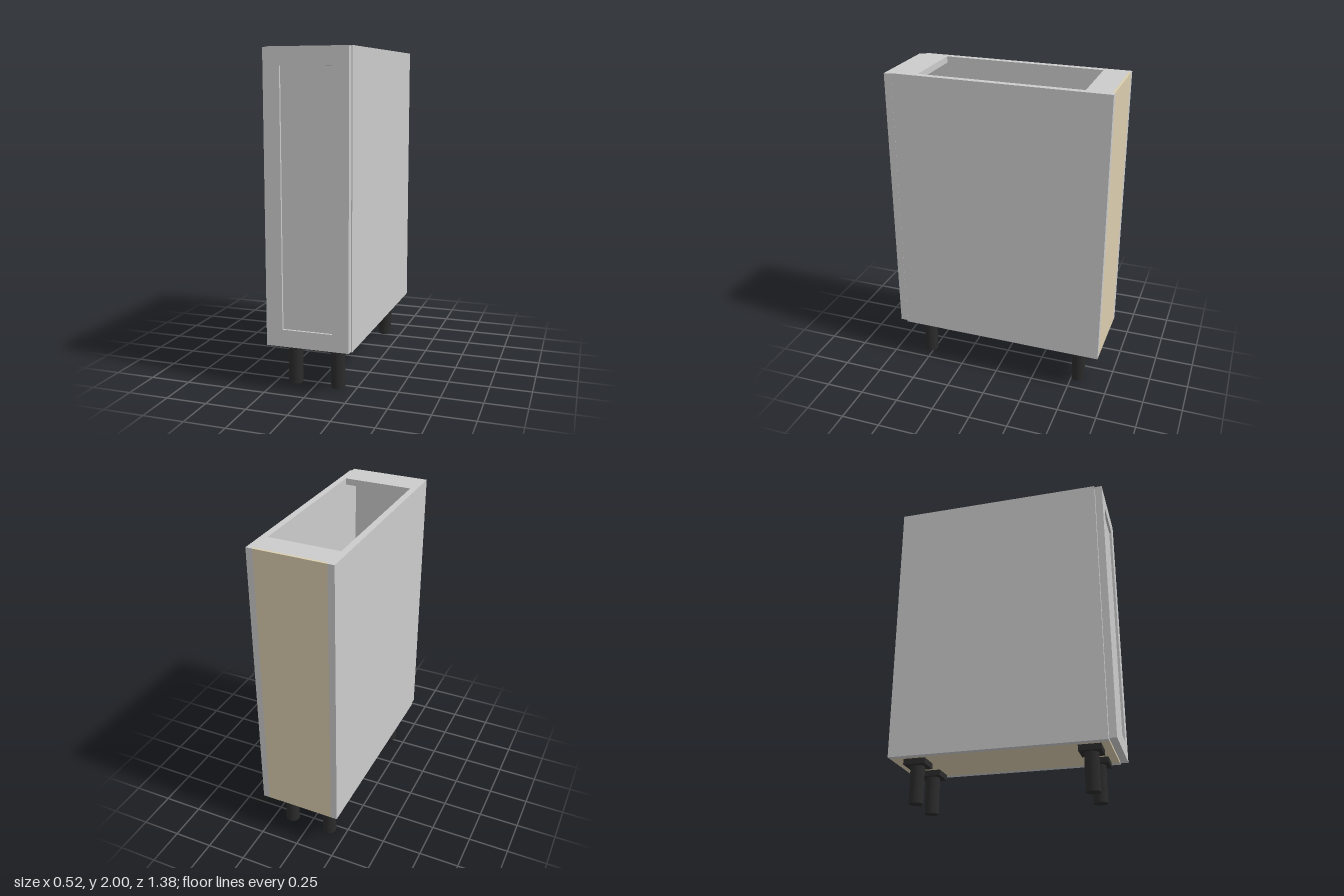
import * as THREE from 'three';

const GREY = new THREE.MeshStandardMaterial({ color: 0xcccccc });
const WOOD = new THREE.MeshStandardMaterial({ color: 0xdacdae });
const BLACK = new THREE.MeshStandardMaterial({ color: 0x2b2b2b });

// Box given by its lower and upper corners
function box(name, [x0, y0, z0], [x1, y1, z1], material) {
  const mesh = new THREE.Mesh(new THREE.BoxGeometry(x1 - x0, y1 - y0, z1 - z0), material);
  mesh.position.set((x0 + x1) / 2, (y0 + y1) / 2, (z0 + z1) / 2);
  mesh.name = name;
  return mesh;
}

function rectangle(path, x, y0, y1) {
  path.moveTo(-x, y0);
  path.lineTo(x, y0);
  path.lineTo(x, y1);
  path.lineTo(-x, y1);
  path.closePath();
  return path;
}

// Door: frame around a recessed panel
function makeDoor() {
  const door = new THREE.Group();
  door.name = 'door';
  const outline = rectangle(new THREE.Shape(), 0.253, 0.272, 1.995);
  outline.holes.push(rectangle(new THREE.Path(), 0.153, 0.375, 1.892));
  const frame = new THREE.Mesh(
    new THREE.ExtrudeGeometry(outline, { depth: 0.045, bevelEnabled: false }), GREY);
  frame.position.z = 0.645;
  frame.name = 'doorFrame';
  door.add(frame, box('doorPanel', [-0.153, 0.375, 0.645], [0.153, 1.892, 0.675], GREY));
  return door;
}

// Leg: round post under a square mounting plate
function makeLeg(name, x, z) {
  const leg = new THREE.Group();
  leg.name = name;
  const post = new THREE.Mesh(new THREE.CylinderGeometry(0.044, 0.044, 0.23, 32), BLACK);
  post.position.y = 0.115;
  post.name = 'legPost';
  leg.add(post, box('legPlate', [-0.068, 0.23, -0.068], [0.068, 0.265, 0.068], BLACK));
  leg.position.set(x, 0, z);
  return leg;
}

export function createModel() {
  const cabinet = new THREE.Group();
  cabinet.name = 'cabinet';

  // Carcass
  cabinet.add(
    box('leftSide', [0.218, 0.265, -0.69], [0.258, 2, 0.642], GREY),
    box('rightSide', [-0.258, 0.265, -0.69], [-0.218, 2, 0.642], GREY),
    box('bottomPanel', [-0.218, 0.265, -0.675], [0.218, 0.305, 0.642], WOOD),
    box('backPanel', [-0.218, 0.265, -0.69], [0.218, 2, -0.675], WOOD),
    box('frontRail', [-0.218, 1.96, 0.485], [0.218, 2, 0.642], GREY),
    box('backRail', [-0.218, 1.96, -0.675], [0.218, 2, -0.525], GREY),
    // Small block on the inner wall near the back
    box('wallBracket', [-0.218, 1.78, -0.62], [-0.2, 1.9, -0.513], GREY),
    makeDoor(),
  );

  // Legs
  for (const [side, x] of [['Left', 0.135], ['Right', -0.135]]) {
    cabinet.add(makeLeg('front' + side + 'Leg', x, 0.525), makeLeg('back' + side + 'Leg', x, -0.542));
  }
  return cabinet;
}
